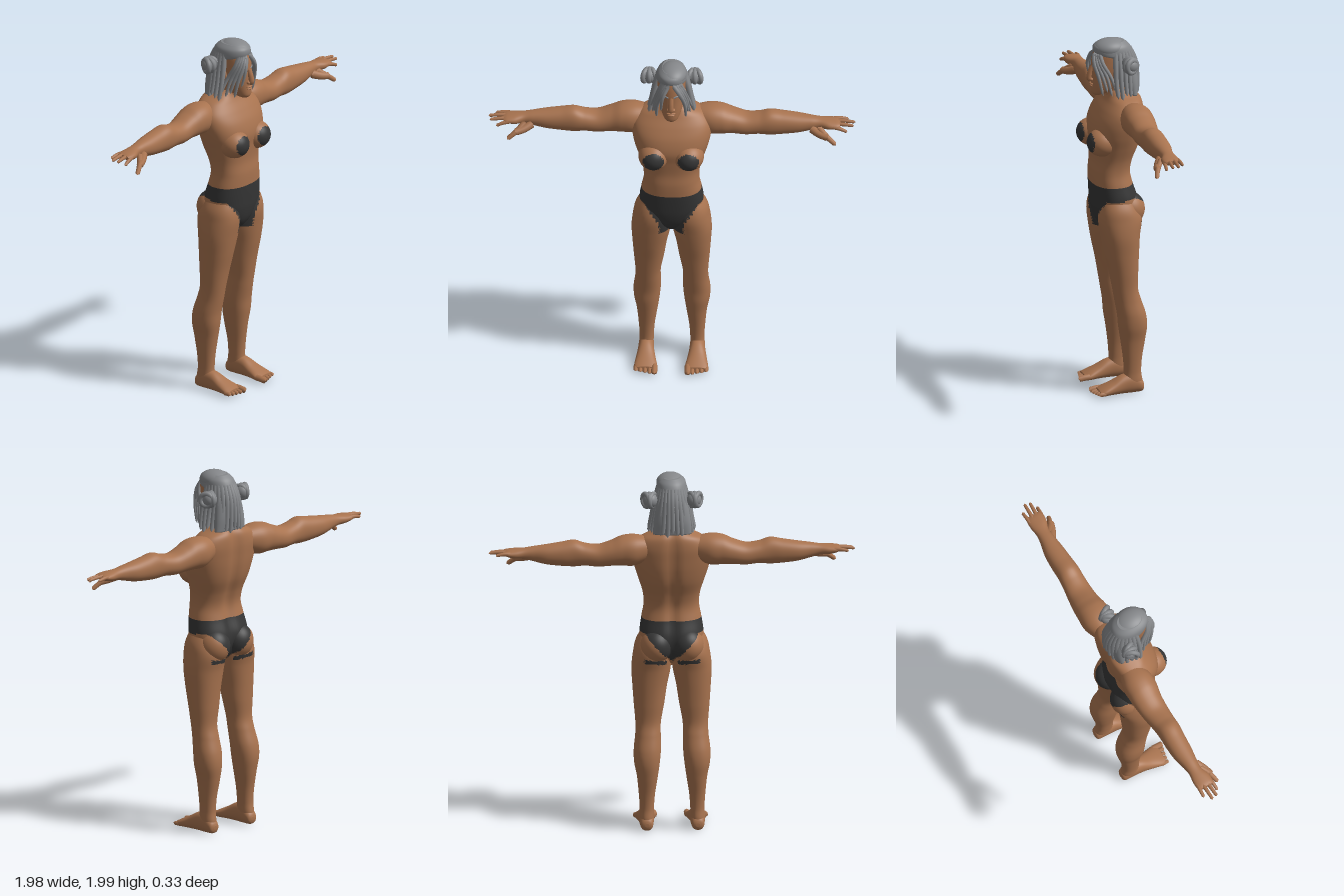
import * as THREE from 'three';

const mat = (name, color) => Object.assign(new THREE.MeshStandardMaterial({ color }), { name });

// Smooth interpolation between neighbouring profile rows
function spline(rows, f) {
  const i = Math.min(Math.floor(f), rows.length - 2), t = f - i;
  const at = k => rows[Math.max(0, Math.min(rows.length - 1, k))];
  return rows[i].map((b, k) => {
    const a = at(i - 1)[k], c = at(i + 1)[k], d = at(i + 2)[k];
    return b + 0.5 * t * (c - a + t * (2 * a - 5 * b + 4 * c - d + t * (3 * (b - c) + d - a)));
  });
}

// Closed skin through oval sections [t, u0, u1, v0, v1]; (t,u,v) is (y,z,x), (x,y,z) or (z,x,y)
function loft(rows, axis, { steps = 8, sides = 40, e = 0.92 } = {}) {
  const pos = [], idx = [], n = (rows.length - 1) * steps;
  const put = (t, u, v) => pos.push(...(axis === 'y' ? [v, t, u] : axis === 'x' ? [t, u, v] : [u, v, t]));
  const pow = c => Math.sign(c) * Math.abs(c) ** e;
  for (let i = 0; i <= n; i++) {
    const [t, u0, u1, v0, v1] = spline(rows, i / steps);
    for (let j = 0; j < sides; j++) {
      const a = (j / sides) * Math.PI * 2;
      put(t, (u0 + u1) / 2 + pow(Math.cos(a)) * (u1 - u0) / 2, (v0 + v1) / 2 + pow(Math.sin(a)) * (v1 - v0) / 2);
    }
  }
  for (let i = 0; i < n; i++) for (let j = 0; j < sides; j++) {
    const k = (j + 1) % sides, a = i * sides + j, b = i * sides + k;
    idx.push(a, b, a + sides, b, b + sides, a + sides);
  }
  for (const [r, end] of [[rows[0], 0], [rows[rows.length - 1], 1]]) {
    const c = pos.length / 3, o = end * n * sides;
    put(r[0], (r[1] + r[2]) / 2, (r[3] + r[4]) / 2);
    for (let j = 0; j < sides; j++) {
      const a = o + j, b = o + (j + 1) % sides;
      idx.push(c, end ? a : b, end ? b : a);
    }
  }
  const g = new THREE.BufferGeometry();
  g.setAttribute('position', new THREE.Float32BufferAttribute(pos, 3));
  g.setIndex(idx);
  g.computeVertexNormals();
  return g;
}

const ball = (x, y, z, rx, ry, rz) => new THREE.SphereGeometry(1, 40, 32).scale(rx, ry, rz).translate(x, y, z);

// Tapered tube closed at both ends, for fingers, toes and locks
function strand(points, r, tip = 0.7, steps = 12) {
  const curve = new THREE.CatmullRomCurve3(points.map(p => new THREE.Vector3(...p)));
  const g = new THREE.TubeGeometry(curve, steps, r, 8), p = g.attributes.position, v = new THREE.Vector3();
  for (let i = 0; i <= steps; i++) {
    const s = i / steps, c = curve.getPointAt(s);
    const f = i === 0 || i === steps ? 0 : 1 - (1 - tip) * s;
    for (let j = 0; j < 9; j++) {
      const k = i * 9 + j;
      v.fromBufferAttribute(p, k).sub(c).multiplyScalar(f).add(c);
      p.setXYZ(k, v.x, v.y, v.z);
    }
  }
  return g;
}

function mirrored(src) {
  const g = src.clone().applyMatrix4(new THREE.Matrix4().makeScale(-1, 1, 1)), a = g.index.array;
  for (let i = 0; i < a.length; i += 3) [a[i], a[i + 1]] = [a[i + 1], a[i]];
  return g;
}

// Where the clothing covers the body
function isCloth(x, y, z) {
  x = Math.abs(x);
  if (z > 0.08 && y > 1.3) return ((x - 0.095) / 0.056) ** 2 + ((y - 1.435) / 0.052) ** 2 < 1;
  if (z < -0.05 && x > 0.03 && x < 0.15 && Math.abs(y - 0.955 - (x - 0.09) * 0.1) < 0.011) return true;
  if (y > 1.18) return false;
  if (z < -0.02) return y > Math.min(1.11, 0.95 + 1.1 * x);
  return y > (x < 0.065 ? 0.91 : Math.min(1.1, 0.98 + (x - 0.065) * 1.5));
}

function clothed(g) {
  const p = g.attributes.position, parts = [[], []], a = g.index.array;
  for (let i = 0; i < a.length; i += 3) {
    const t = [a[i], a[i + 1], a[i + 2]];
    const mid = f => t.reduce((s, k) => s + p[f](k), 0) / 3;
    parts[isCloth(mid('getX'), mid('getY'), mid('getZ')) ? 1 : 0].push(...t);
  }
  g.setIndex([...parts[0], ...parts[1]]);
  g.addGroup(0, parts[0].length, 0);
  g.addGroup(parts[0].length, parts[1].length, 1);
  return g;
}

export function createModel() {
  const root = new THREE.Group();
  root.name = 'figure';
  const skin = mat('skin', 0xa8734f), cloth = mat('underwear', 0x363636), hair = mat('hair', 0x85878a);
  const add = (name, g, m) => {
    const mesh = new THREE.Mesh(g, m);
    mesh.name = name;
    root.add(mesh);
  };
  const pair = (name, g, m) => { add(name + 'Left', g, m); add(name + 'Right', mirrored(g), m); };
  const body = (name, g) => add(name, clothed(g), [skin, cloth]);
  const bodyPair = (name, g) => { body(name + 'Left', g.clone()); body(name + 'Right', mirrored(g)); };

  // Torso, with a groove along the spine
  const torso = loft([
    [0.91, -0.03, 0.04, -0.03, 0.03], [0.94, -0.08, 0.07, -0.06, 0.06], [0.98, -0.11, 0.092, -0.12, 0.12],
    [1.04, -0.13, 0.106, -0.165, 0.165], [1.1, -0.13, 0.112, -0.173, 0.173], [1.18, -0.105, 0.117, -0.162, 0.162],
    [1.25, -0.092, 0.118, -0.15, 0.15], [1.32, -0.105, 0.112, -0.155, 0.155], [1.4, -0.135, 0.118, -0.178, 0.178],
    [1.47, -0.15, 0.125, -0.2, 0.2], [1.54, -0.157, 0.108, -0.214, 0.214], [1.6, -0.16, 0.075, -0.21, 0.21],
    [1.65, -0.155, 0.04, -0.17, 0.17], [1.68, -0.14, 0.025, -0.11, 0.11], [1.71, -0.11, 0.02, -0.055, 0.055],
  ], 'y', { sides: 72, e: 0.85 });
  const tp = torso.attributes.position;
  for (let i = 0; i < tp.count; i++) {
    if (tp.getZ(i) < -0.05) tp.setZ(i, tp.getZ(i) + 0.014 * Math.exp(-((tp.getX(i) / 0.03) ** 2)));
  }
  torso.computeVertexNormals();
  body('torso', torso);
  bodyPair('breast', ball(0.095, 1.432, 0.078, 0.082, 0.078, 0.087));
  bodyPair('buttock', ball(0.085, 1.035, -0.07, 0.088, 0.095, 0.09));

  // Legs
  bodyPair('leg', loft([
    [1.14, -0.07, 0.06, 0.06, 0.14], [1.06, -0.11, 0.092, 0.01, 0.19], [0.99, -0.135, 0.102, 0, 0.207],
    [0.9, -0.122, 0.09, 0.005, 0.217], [0.8, -0.115, 0.072, 0.025, 0.212], [0.7, -0.11, 0.05, 0.04, 0.205],
    [0.6, -0.107, 0.032, 0.058, 0.197], [0.53, -0.125, 0.02, 0.06, 0.198], [0.45, -0.15, 0.006, 0.06, 0.207],
    [0.38, -0.157, 0, 0.066, 0.205], [0.3, -0.147, -0.012, 0.077, 0.19], [0.2, -0.13, -0.025, 0.092, 0.18],
    [0.12, -0.125, -0.03, 0.098, 0.175], [0.06, -0.132, -0.025, 0.1, 0.176], [0.02, -0.12, -0.04, 0.11, 0.165],
  ].reverse(), 'y', { steps: 10 }));

  // Feet and toes
  pair('foot', loft([
    [-0.14, 0.125, 0.148, 0.025, 0.045], [-0.128, 0.106, 0.17, 0.004, 0.07], [-0.08, 0.098, 0.178, 0, 0.11],
    [-0.02, 0.095, 0.182, 0, 0.105], [0.04, 0.085, 0.192, 0, 0.074], [0.09, 0.075, 0.2, 0, 0.05],
    [0.118, 0.08, 0.195, 0.004, 0.036],
  ], 'z'), skin);
  for (let i = 0; i < 5; i++) {
    const x = 0.09 + i * 0.025, r = i ? 0.0125 : 0.018, end = 0.155 - i * 0.007;
    pair('toe' + (i + 1), strand([[x, r + 0.008, 0.085], [x, r + 0.006, 0.12], [x, r, end]], r, 0.9, 8), skin);
  }

  // Arms and palms
  pair('arm', loft([
    [0.11, 1.54, 1.65, -0.13, -0.02], [0.2, 1.5, 1.668, -0.16, 0.01], [0.27, 1.5, 1.662, -0.16, 0.01],
    [0.33, 1.5, 1.637, -0.155, 0], [0.4, 1.495, 1.615, -0.145, -0.003], [0.47, 1.5, 1.622, -0.135, -0.005],
    [0.53, 1.495, 1.64, -0.13, -0.005], [0.6, 1.5, 1.63, -0.13, -0.01], [0.68, 1.51, 1.618, -0.125, -0.016],
    [0.75, 1.527, 1.608, -0.11, -0.026], [0.8, 1.54, 1.6, -0.104, -0.03], [0.85, 1.543, 1.595, -0.11, -0.013],
    [0.89, 1.553, 1.59, -0.11, -0.013], [0.91, 1.563, 1.584, -0.1, -0.022],
  ], 'x'), skin);
  // Fingers: three straight, index and thumb reaching forward and down
  [
    [[0.87, 1.574, -0.096], [0.91, 1.575, -0.1], [0.955, 1.568, -0.103]],
    [[0.87, 1.576, -0.073], [0.93, 1.578, -0.071], [0.992, 1.572, -0.069]],
    [[0.87, 1.574, -0.047], [0.93, 1.574, -0.043], [0.985, 1.568, -0.039]],
    [[0.86, 1.572, -0.024], [0.91, 1.562, -0.018], [0.95, 1.545, -0.014]],
    [[0.79, 1.56, -0.035], [0.835, 1.525, 0.0], [0.89, 1.482, 0.024]],
    ].forEach((p, i) => pair('finger' + (i + 1), strand(p, i === 4 ? 0.018 : 0.0125, 0.65), skin));
  pair('thumbBase', strand([[0.75, 1.55, -0.04], [0.8, 1.53, -0.01], [0.85, 1.52, 0.01]], 0.024, 0.8), skin);

  // Neck, head and face
  add('neck', loft([[1.62, -0.11, 0.03, -0.075, 0.075], [1.69, -0.085, 0.03, -0.056, 0.056],
    [1.8, -0.08, 0.03, -0.055, 0.055]], 'y'), skin);
  add('head', loft([
    [1.678, 0.06, 0.1, -0.022, 0.022], [1.695, 0.005, 0.113, -0.042, 0.042], [1.74, -0.05, 0.114, -0.06, 0.06],
    [1.8, -0.09, 0.112, -0.07, 0.07], [1.86, -0.1, 0.11, -0.075, 0.075], [1.92, -0.09, 0.1, -0.072, 0.072],
    [1.96, -0.06, 0.075, -0.05, 0.05], [1.975, -0.02, 0.03, -0.015, 0.015],
  ], 'y'), skin);
  add('nose', strand([[0, 1.845, 0.106], [0, 1.8, 0.122], [0, 1.772, 0.125], [0, 1.762, 0.112]], 0.014, 1.1), skin);
  add('upperLip', ball(0, 1.742, 0.111, 0.024, 0.006, 0.012), skin);
  add('lowerLip', ball(0, 1.729, 0.11, 0.02, 0.007, 0.011), skin);
  pair('nostril', ball(0.013, 1.768, 0.115, 0.01, 0.009, 0.012), skin);
  pair('brow', strand([[0.012, 1.843, 0.108], [0.035, 1.85, 0.1], [0.055, 1.84, 0.08]], 0.007, 0.5), hair);
  pair('ear', ball(0.074, 1.8, -0.005, 0.012, 0.036, 0.022).rotateY(0.05), skin);

  // Hair: base volume, rounded crown, falling locks
  add('hairBase', loft([
    [1.68, -0.135, -0.07, -0.105, 0.105], [1.75, -0.142, -0.05, -0.1, 0.1], [1.83, -0.135, -0.03, -0.088, 0.088],
    [1.89, -0.125, 0.05, -0.083, 0.083], [1.91, -0.12, 0.095, -0.083, 0.083], [1.95, -0.1, 0.1, -0.075, 0.075],
    [1.975, -0.07, 0.07, -0.05, 0.05],
  ], 'y'), hair);
  add('crown', ball(0.005, 1.938, 0.008, 0.076, 0.052, 0.092), hair);
  for (let i = 0; i <= 16; i++) {
    const a = (i / 16 - 0.5) * 3.5, s = Math.sin(a), c = Math.cos(a), drop = 0.012 * (i % 3);
    add('backLock' + i, strand([
      [0.06 * s, 1.94, -0.02 - 0.07 * c], [0.085 * s, 1.86, -0.02 - 0.11 * c],
      [0.107 * s, 1.76, -0.02 - 0.123 * c], [0.125 * s, 1.665 + drop, -0.025 - 0.116 * c],
    ], 0.018, 0.6, 14), hair);
  }
  for (let i = 0; i < 4; i++) {
    const d = i * 0.011;
    pair('frontLock' + (i + 1), strand([
      [0.008 + d, 1.925, 0.095 - d * 0.5], [0.045 + d * 0.6, 1.87, 0.108 - d * 1.2],
      [0.073 + d * 0.4, 1.79, 0.092 - d * 2], [0.08 + d, 1.69 + (i % 2) * 0.02, 0.07 - d * 2],
    ], 0.015, 0.45, 14), hair);
  }
  add('looseLock', strand([[-0.015, 1.92, 0.103], [-0.045, 1.85, 0.12], [-0.055, 1.75, 0.1]], 0.013, 0.4), hair);

  // Side buns wound from loops
  pair('bun', ball(0.118, 1.862, -0.072, 0.04, 0.042, 0.042), hair);
  for (let i = 0; i < 3; i++) {
    pair('bunCoil' + (i + 1), new THREE.TorusGeometry(0.034, 0.014, 10, 24).rotateY(Math.PI / 2 + (i - 1) * 0.5)
      .translate(0.105 + i * 0.018, 1.862, -0.073), hair);
  }
  return root;
}
